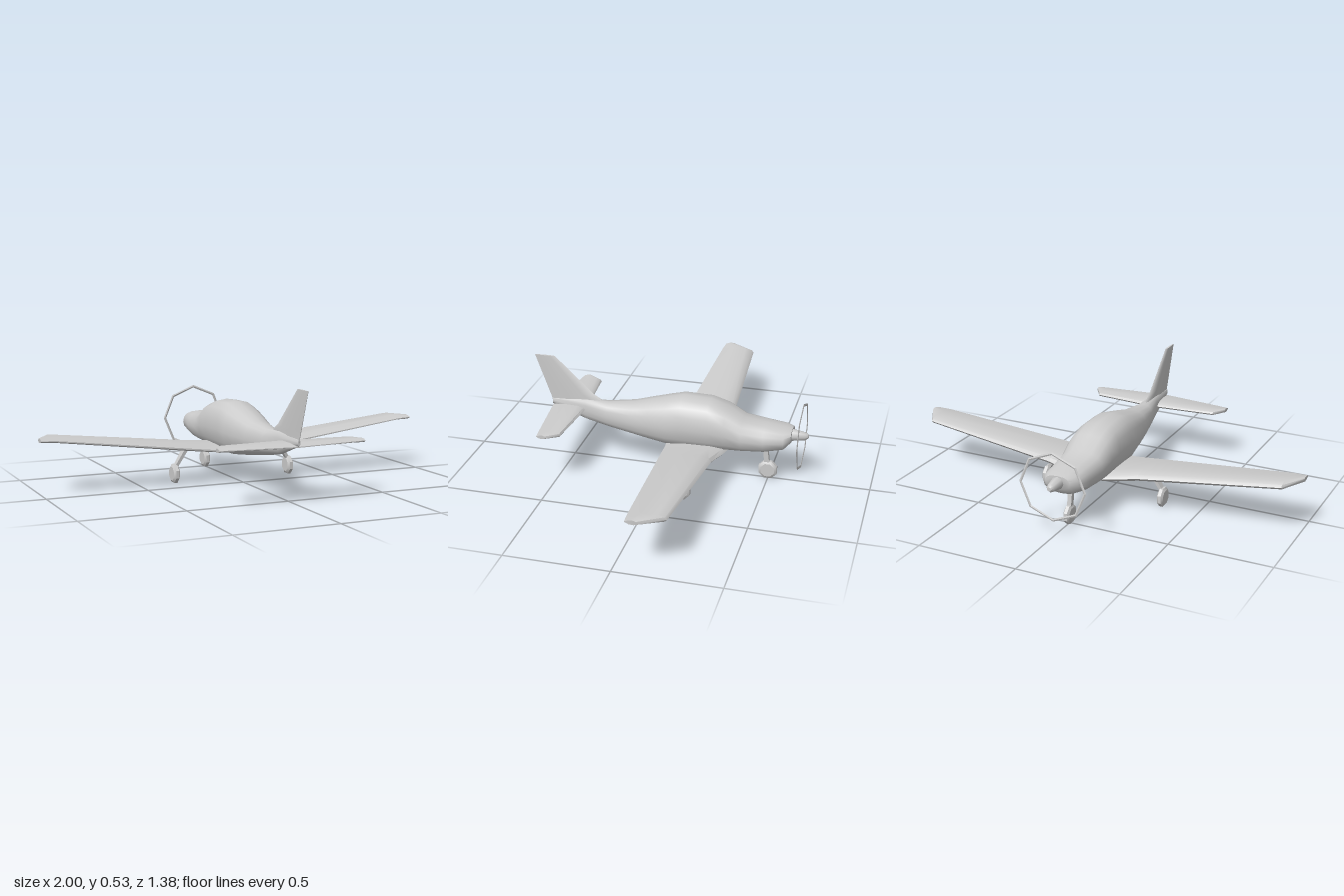
import * as THREE from 'three';
import { toCreasedNormals } from 'three/addons/utils/BufferGeometryUtils.js';

const grey = new THREE.MeshStandardMaterial({ color: 0xcccccc });

function part(name, geometry, parent) {
  const mesh = new THREE.Mesh(geometry, grey);
  mesh.name = name;
  parent.add(mesh);
  return mesh;
}

// Skin a closed, capped body over cross-sections with equal point counts
function loft(sections, crease) {
  const n = sections[0].length;
  const pos = sections.flat(2);
  const idx = [];
  for (let s = 0; s < sections.length - 1; s++) {
    for (let i = 0; i < n; i++) {
      const a = s * n + i, b = s * n + (i + 1) % n;
      idx.push(a, b, a + n, b, b + n, a + n);
    }
  }
  const last = (sections.length - 1) * n;
  for (let i = 1; i < n - 1; i++) {
    idx.push(0, i + 1, i, last, last + i, last + i + 1);
  }
  // Turn the faces outward if the sections ran the other way
  const p = (k) => new THREE.Vector3().fromArray(pos, idx[k] * 3);
  let volume = 0;
  for (let k = 0; k < idx.length; k += 3) volume += p(k).dot(p(k + 1).cross(p(k + 2)));
  if (volume < 0) idx.reverse();
  const g = new THREE.BufferGeometry();
  g.setAttribute('position', new THREE.Float32BufferAttribute(pos, 3));
  g.setIndex(idx);
  return toCreasedNormals(g, crease);
}

// Airfoil as [chord fraction from the leading edge, height fraction]
const AIRFOIL = [[0, 0.45], [0.05, 0.8], [0.25, 1], [0.65, 0.92], [1, 0.6],
  [1, 0.45], [0.65, 0.08], [0.25, 0], [0.05, 0.15]];

// Stations are [span, leading z, trailing z, low, high]
function foil(stations, upright = false) {
  return loft(stations.map(([s, le, te, lo, hi]) => AIRFOIL.map(([c, h]) => {
    const z = le + (te - le) * c, t = lo + (hi - lo) * h;
    return upright ? [t, s, z] : [s, t, z];
  })), 0.75);
}

// Mirror half a wing's stations across the centre
function bothSides(half) {
  return [...half.slice().reverse().map(([s, ...rest]) => [-s, ...rest]), ...half];
}

function fuselageGeometry() {
  // [z, bottom, top, half width]
  const stations = [
    [-0.612, 0.222, 0.284, 0.062], [-0.58, 0.187, 0.291, 0.09], [-0.485, 0.163, 0.303, 0.102],
    [-0.374, 0.155, 0.318, 0.112], [-0.293, 0.148, 0.37, 0.119], [-0.207, 0.141, 0.396, 0.119],
    [-0.07, 0.137, 0.4, 0.116], [0, 0.14, 0.382, 0.112], [0.09, 0.153, 0.358, 0.097],
    [0.178, 0.167, 0.333, 0.08], [0.315, 0.188, 0.315, 0.052], [0.43, 0.21, 0.32, 0.027],
    [0.607, 0.272, 0.302, 0.006],
  ];
  const sides = 16;
  const round = (v) => Math.sign(v) * Math.abs(v) ** 0.8;
  return loft(stations.map(([z, lo, hi, w]) => Array.from({ length: sides }, (_, i) => {
    const a = (i / sides) * Math.PI * 2;
    const mid = lo + (hi - lo) * 0.48;
    const c = Math.cos(a);
    return [w * round(Math.sin(a)), mid + (c > 0 ? hi - mid : mid - lo) * round(c), z];
  })), 1.1);
}

// Eight-sided wheel with bevelled rims, axle along x
function wheelGeometry() {
  const profile = [[0, -0.016], [0.036, -0.016], [0.049, -0.008], [0.049, 0.008], [0.036, 0.016], [0, 0.016]]
    .map(([r, y]) => new THREE.Vector2(r, y));
  const g = new THREE.LatheGeometry(profile, 8);
  g.rotateY(Math.PI / 8).rotateZ(Math.PI / 2);
  return toCreasedNormals(g, 0.5);
}

// Tapered leg; ends are [x, y, z, half width, half depth]
function legGeometry(top, bottom) {
  return loft([top, bottom].map(([x, y, z, w, d]) =>
    [[-w, -d], [w, -d], [w, d], [-w, d]].map(([dx, dz]) => [x + dx, y, z + dz])), 0.5);
}

export function createModel() {
  const plane = new THREE.Group();
  plane.name = 'lightAircraft';

  part('fuselage', fuselageGeometry(), plane);

  // Wing with slight dihedral, root fillet and clipped tips
  part('wing', foil(bothSides([
    [0.07, -0.305, -0.002, 0.135, 0.185], [0.12, -0.295, -0.008, 0.141, 0.188],
    [0.235, -0.265, -0.015, 0.155, 0.2], [0.93, -0.235, -0.06, 0.241, 0.274],
    [1, -0.12, -0.065, 0.25, 0.272],
  ])), plane);

  // Tail surfaces
  part('tailplane', foil(bothSides([
    [0.01, 0.43, 0.603, 0.252, 0.282], [0.325, 0.455, 0.568, 0.255, 0.28],
    [0.368, 0.52, 0.562, 0.258, 0.277],
  ])), plane);
  part('fin', foil([
    [0.275, 0.32, 0.605, -0.012, 0.012], [0.31, 0.33, 0.612, -0.011, 0.011],
    [0.345, 0.39, 0.625, -0.01, 0.01], [0.53, 0.588, 0.692, -0.005, 0.005],
  ], true), plane);

  // Spinner and octagonal propeller disc rim
  const nose = [[0, -0.02], [0.034, -0.02], [0.03, 0.01], [0.02, 0.068], [0.01, 0.082], [0, 0.082]]
    .map(([r, y]) => new THREE.Vector2(r, y));
  const spinner = part('spinner', toCreasedNormals(new THREE.LatheGeometry(nose, 8), 0.9), plane);
  spinner.rotation.x = -Math.PI / 2;
  spinner.position.set(0, 0.25, -0.608);
  const rim = part('propellerRim', toCreasedNormals(new THREE.TorusGeometry(0.164, 0.007, 4, 8), 0.4), plane);
  rim.scale.z = 0.4;
  rim.position.set(0, 0.248, -0.659);

  // Landing gear
  const wheel = wheelGeometry();
  for (const side of [1, -1]) {
    const name = side > 0 ? 'left' : 'right';
    part(name + 'MainLeg', legGeometry([side * 0.255, 0.168, -0.135, 0.01, 0.021],
      [side * 0.308, 0.08, -0.135, 0.009, 0.013]), plane);
    part(name + 'MainWheel', wheel, plane).position.set(side * 0.312, 0.047, -0.137);
  }
  part('noseLeg', legGeometry([0, 0.175, -0.483, 0.012, 0.01], [0, 0.08, -0.493, 0.01, 0.013]), plane);
  part('noseWheel', wheel, plane).position.set(0, 0.047, -0.498);

  return plane;
}
